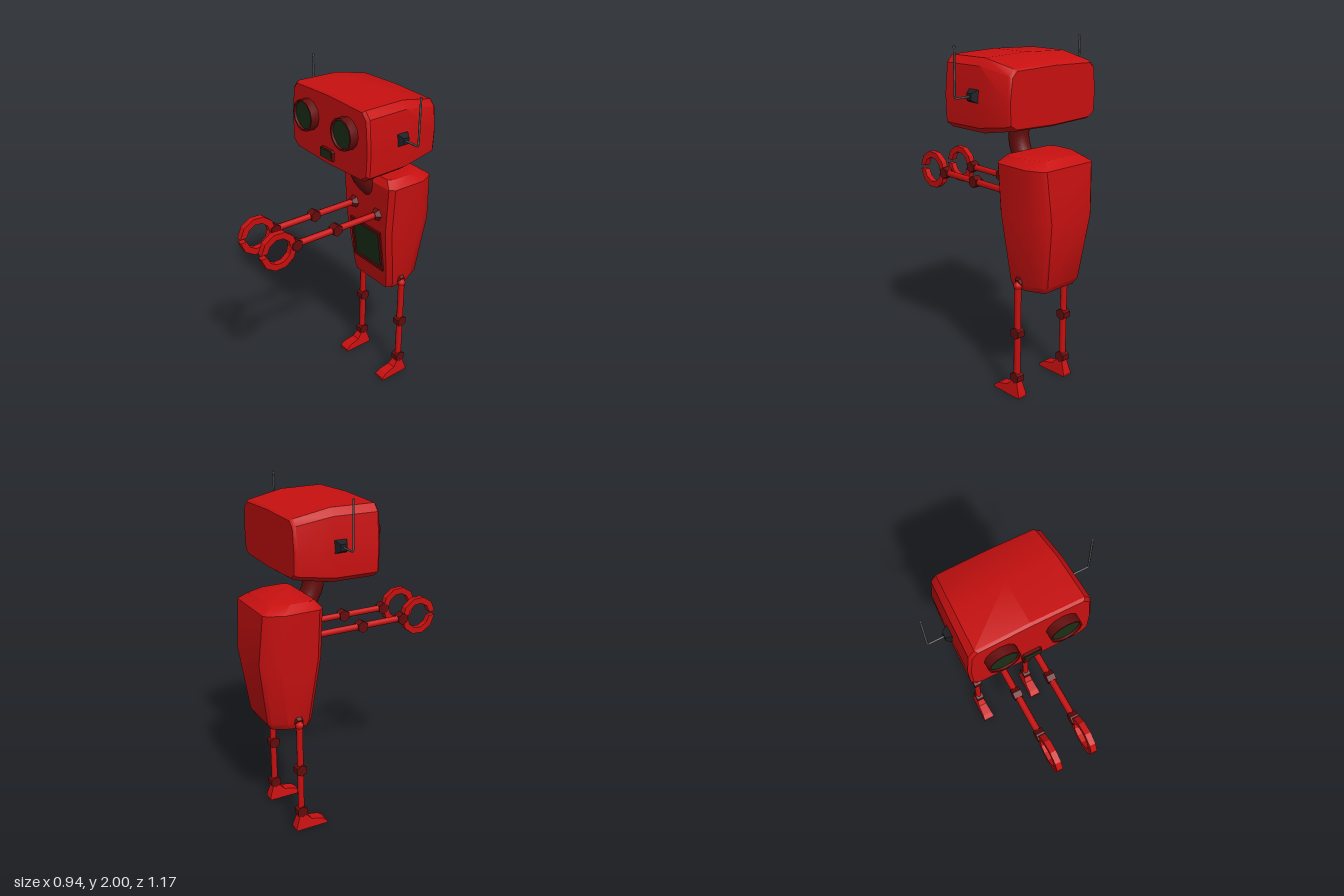
import * as THREE from 'three';
import { toCreasedNormals } from 'three/addons/utils/BufferGeometryUtils.js';

const mat = (color) => new THREE.MeshStandardMaterial({ color });
const RED = mat(0xc81010), DARK = mat(0x640c0c), GREEN = mat(0x1a2e16);
const BLACK = mat(0x1c2024), GREY = mat(0x555555);
const V = (x, y, z) => new THREE.Vector3(x, y, z);

function add(parent, name, geo, material, x = 0, y = 0, z = 0) {
  const mesh = new THREE.Mesh(geo, material);
  mesh.name = name;
  mesh.position.set(x, y, z);
  parent.add(mesh);
  return mesh;
}

// Skin over rings of points, capped at both ends
function loft(rings, crease) {
  const n = rings[0].length, pos = [], idx = [];
  rings.forEach((r) => r.forEach((p) => pos.push(p.x, p.y, p.z)));
  for (let i = 0; i < rings.length - 1; i++) {
    for (let j = 0; j < n; j++) {
      const a = i * n + j, b = i * n + (j + 1) % n;
      idx.push(a, b, b + n, a, b + n, a + n);
    }
  }
  const last = (rings.length - 1) * n;
  for (let j = 1; j < n - 1; j++) {
    idx.push(0, j + 1, j, last, last + j, last + j + 1);
  }
  const geo = new THREE.BufferGeometry();
  geo.setAttribute('position', new THREE.Float32BufferAttribute(pos, 3));
  geo.setIndex(idx);
  return toCreasedNormals(geo, crease);
}

// Straight rod between two points
function rod(parent, name, a, b, r, material, sides = 8) {
  const mesh = add(parent, name, new THREE.CylinderGeometry(r, r, a.distanceTo(b), sides), material);
  mesh.position.copy(a).add(b).multiplyScalar(0.5);
  mesh.quaternion.setFromUnitVectors(V(0, 1, 0), b.clone().sub(a).normalize());
}

// Hexagonal hinge lying across the limb
function hinge(parent, name, x, y, z, r = 0.036, width = 0.05) {
  const geo = toCreasedNormals(new THREE.CylinderGeometry(r, r, width, 6).rotateY(Math.PI / 6).rotateZ(Math.PI / 2), 0.5);
  add(parent, name, geo, DARK, x, y, z);
}

// Rectangular frame with a hole, extruded towards +z
function frameGeo(w, h, border, depth) {
  const rect = (s, a, b) => s.moveTo(-a, -b).lineTo(a, -b).lineTo(a, b).lineTo(-a, b).closePath();
  const shape = rect(new THREE.Shape(), w / 2, h / 2);
  shape.holes.push(rect(new THREE.Path(), w / 2 - border, h / 2 - border));
  return new THREE.ExtrudeGeometry(shape, { depth, bevelEnabled: false });
}

function buildHead(root) {
  const head = new THREE.Group();
  head.name = 'head';
  root.add(head);
  const half = [[0.345, 1.57], [0.351, 1.72], [0.335, 1.89], [0.3, 1.93]];
  const outline = [...half, [0, 1.94], ...half.map(([x, y]) => [-x, y]).reverse(), [-0.3, 1.537], [0, 1.526], [0.3, 1.537]];
  const rings = [[-0.44, 0.9, 0.75], [-0.425, 0.93, 0.8], [-0.22, 0.97, 1], [0.035, 1, 1], [0.05, 0.96, 0.95]]
    .map(([z, sx, sy]) => outline.map(([x, y]) => V(x * sx, 1.733 + (y - 1.733) * sy, z)));
  add(head, 'skull', loft(rings, 0.6), RED);

  for (const s of [1, -1]) {
    // Eye: hollow rim and recessed lens
    const rim = [[0.09, 0], [0.09, 0.05], [0.08, 0.05], [0.078, 0.035]].map(([r, h]) => new THREE.Vector2(r, h));
    add(head, 'eyeRim', toCreasedNormals(new THREE.LatheGeometry(rim, 12).rotateX(Math.PI / 2), 0.7), DARK, s * 0.173, 1.775, 0.05);
    add(head, 'eyeLens', new THREE.CylinderGeometry(0.079, 0.079, 0.035, 12).rotateX(Math.PI / 2), GREEN, s * 0.173, 1.775, 0.07);

    // Antenna on a tapered socket
    const socket = new THREE.CylinderGeometry(0.026, 0.05, 0.035, 4).rotateY(Math.PI / 4).rotateZ(-s * Math.PI / 2);
    add(head, 'antennaSocket', toCreasedNormals(socket, 0.4), BLACK, s * 0.355, 1.735, -0.185);
    const path = new THREE.CurvePath();
    const p = [[0.35, 1.735], [0.452, 1.735], [0.464, 1.747], [0.464, 2]].map(([x, y]) => V(s * x, y, -0.185));
    path.add(new THREE.LineCurve3(p[0], p[1]));
    path.add(new THREE.QuadraticBezierCurve3(p[1], V(s * 0.464, 1.735, -0.185), p[2]));
    path.add(new THREE.LineCurve3(p[2], p[3]));
    add(head, 'antenna', new THREE.TubeGeometry(path, 60, 0.006, 6), GREY);
    add(head, 'antennaTip', new THREE.CylinderGeometry(0.007, 0.007, 0.012, 6), GREY, s * 0.464, 1.994, -0.185);
  }

  // Mouth grille with clipped upper corners
  const mouth = new THREE.Shape([[-0.056, -0.03], [0.056, -0.03], [0.056, 0.02], [0.046, 0.03], [-0.046, 0.03], [-0.056, 0.02]]
    .map(([x, y]) => new THREE.Vector2(x, y)));
  add(head, 'mouthFrame', new THREE.ExtrudeGeometry(mouth, { depth: 0.02, bevelEnabled: false }), DARK, 0, 1.6, 0.046);
  add(head, 'mouth', new THREE.BoxGeometry(0.094, 0.042, 0.01), GREEN, 0, 1.6, 0.063);

  const neck = new THREE.CatmullRomCurve3([V(0, 1.57, -0.18), V(0, 1.47, -0.17), V(0, 1.38, -0.2), V(0, 1.28, -0.29)]);
  add(root, 'neck', new THREE.TubeGeometry(neck, 10, 0.06, 12), DARK);
}

function buildTorso(root) {
  // Rows: height, half width, front z, back z
  const rings = [[0.66, 0.165, -0.28, -0.51], [0.7, 0.18, -0.274, -0.535], [1.08, 0.21, -0.226, -0.585],
    [1.37, 0.23, -0.223, -0.562], [1.41, 0.18, -0.25, -0.505]].map(([y, w, f, b]) => {
    const side = [[w - 0.025, f], [w, f - 0.03], [w, b + 0.1], [w - 0.04, b + 0.015], [w - 0.06, b]];
    return [...side.map(([x, z]) => V(x, y, z)), ...side.map(([x, z]) => V(-x, y, z)).reverse()];
  });
  add(root, 'torso', loft(rings, 0.6), RED);

  // Chest screen following the slope of the front
  const panel = new THREE.Group();
  panel.name = 'chestScreen';
  panel.position.set(0, 0.925, -0.25);
  panel.rotation.x = 0.126;
  root.add(panel);
  add(panel, 'screenFrame', frameGeo(0.28, 0.282, 0.02, 0.03), DARK, 0, 0, -0.016);
  add(panel, 'screen', new THREE.BoxGeometry(0.244, 0.246, 0.02), GREEN, 0, 0, -0.004);
}

function buildArm(root, s) {
  const arm = new THREE.Group();
  arm.name = s > 0 ? 'leftArm' : 'rightArm';
  arm.position.set(s * 0.107, 1.177, 0);
  root.add(arm);
  const socket = new THREE.CylinderGeometry(0.025, 0.043, 0.035, 6).rotateX(Math.PI / 2).rotateZ(Math.PI / 6);
  add(arm, 'shoulder', toCreasedNormals(socket, 0.5), DARK, 0, 0, -0.212);
  rod(arm, 'upperArm', V(0, 0, -0.23), V(0, 0, 0.08), 0.02, RED);
  rod(arm, 'forearm', V(0, 0, 0.08), V(0, 0, 0.355), 0.02, RED);
  hinge(arm, 'elbow', 0, 0, 0.08);
  hinge(arm, 'wrist', 0, 0, 0.355);

  // Claw: faceted ring, open at the front
  const ring = (r, gap) => Array.from({ length: 11 }, (_, i) => {
    const a = gap + (2 * Math.PI - 2 * gap) * i / 10;
    return new THREE.Vector2(r * Math.cos(a), r * Math.sin(a));
  });
  const shape = new THREE.Shape([...ring(0.115, 0.1), ...ring(0.077, 0.16).reverse()]);
  const claw = new THREE.ExtrudeGeometry(shape, { depth: 0.036, bevelEnabled: false })
    .translate(0, 0, -0.018).rotateY(-Math.PI / 2);
  add(arm, 'claw', claw, RED, 0, 0, 0.47);
}

function buildLeg(root, s) {
  const leg = new THREE.Group();
  leg.name = s > 0 ? 'leftLeg' : 'rightLeg';
  leg.position.set(s * 0.188, 0, -0.37);
  root.add(leg);
  const hip = new THREE.CylinderGeometry(0.025, 0.042, 0.04, 6).rotateZ(-s * 2);
  add(leg, 'hip', toCreasedNormals(hip, 0.5), DARK, -s * 0.018, 0.708, 0);
  add(leg, 'hipBall', new THREE.SphereGeometry(0.026, 8, 6), RED, 0, 0.685, 0);
  rod(leg, 'thigh', V(0, 0.69, 0), V(0, 0.397, 0), 0.02, RED);
  rod(leg, 'shin', V(0, 0.397, 0), V(0, 0.115, 0), 0.02, RED);
  hinge(leg, 'knee', 0, 0.397, 0);
  hinge(leg, 'ankle', 0, 0.115, 0);

  // Foot: side profile, narrowing upwards and towards the heel
  const profile = [[0.155, 0], [0.155, 0.014], [0.125, 0.038], [0.055, 0.055], [0.026, 0.088], [-0.02, 0.088], [-0.045, 0.015], [-0.045, 0]];
  const foot = new THREE.ExtrudeGeometry(new THREE.Shape(profile.map(([z, y]) => new THREE.Vector2(z, y))),
    { depth: 2, bevelEnabled: false }).translate(0, 0, -1).rotateY(-Math.PI / 2);
  const p = foot.attributes.position;
  for (let i = 0; i < p.count; i++) {
    const w = 0.032 + 0.04 * Math.max(0, p.getZ(i)) - 0.12 * p.getY(i);
    p.setX(i, p.getX(i) * w);
  }
  foot.computeVertexNormals();
  add(leg, 'foot', foot, RED);
}

export function createModel() {
  const root = new THREE.Group();
  root.name = 'robot';
  buildHead(root);
  buildTorso(root);
  for (const s of [1, -1]) {
    buildArm(root, s);
    buildLeg(root, s);
  }
  return root;
}
